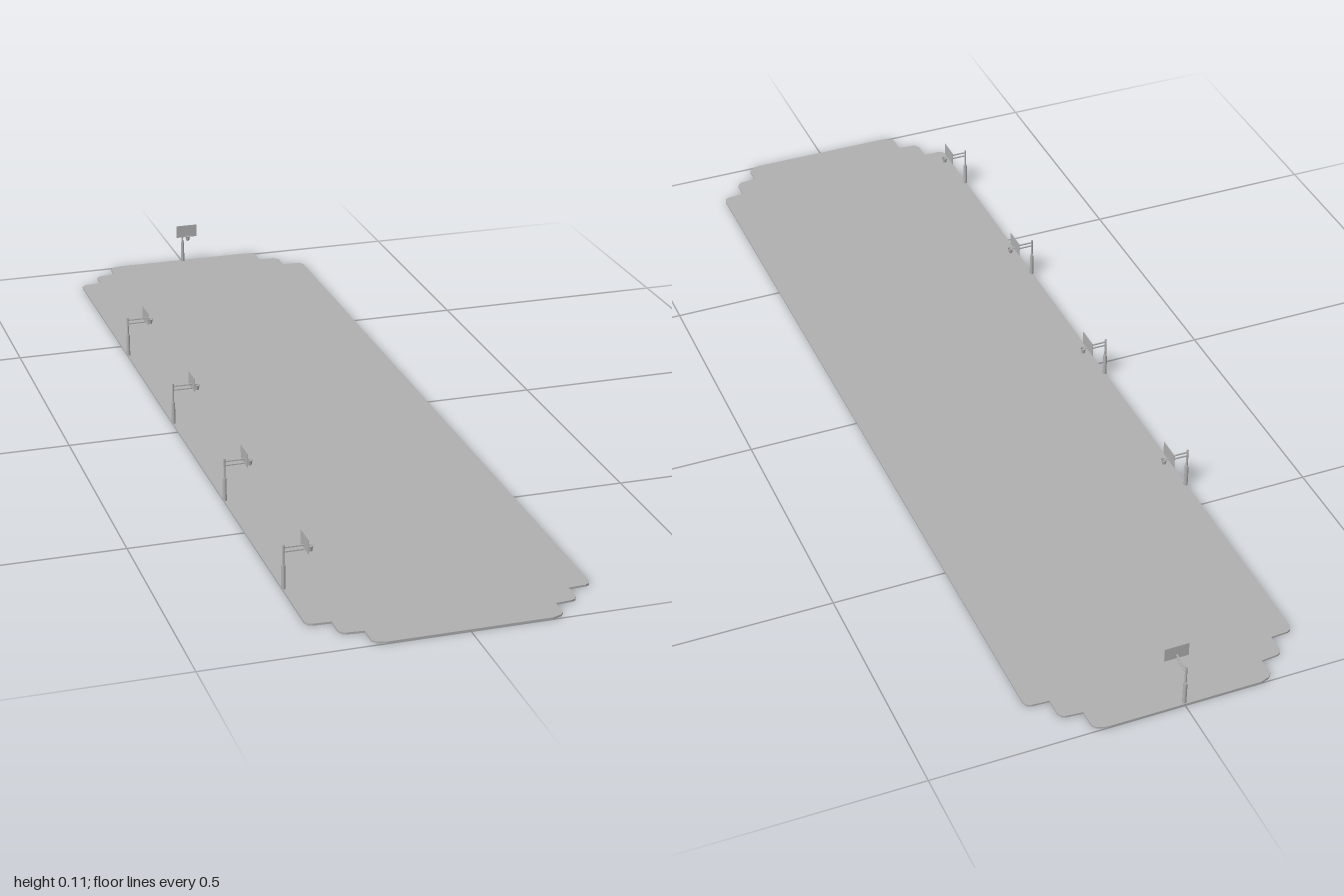
import * as THREE from 'three';

const grey = new THREE.MeshStandardMaterial({ color: 0xb0b0b0 });
grey.name = 'concrete grey';
const thinGrey = new THREE.MeshStandardMaterial({ color: 0xb0b0b0, side: THREE.DoubleSide });
thinGrey.name = 'thin sheet grey';

function add(parent, name, geometry, x, y, z, material = grey) {
  const mesh = new THREE.Mesh(geometry, material);
  mesh.name = name;
  mesh.position.set(x, y, z);
  parent.add(mesh);
  return mesh;
}

// Court slab with stepped, slightly softened corners
function courtSlab() {
  const corner = [
    [0.272, 0.885], [0.268, 0.894], [0.26, 0.898], [0.225, 0.9],
    [0.225, 0.935], [0.221, 0.943], [0.214, 0.947], [0.18, 0.95],
    [0.18, 0.985], [0.173, 0.994], [0.155, 1],
  ];
  const back = [...corner].reverse();
  const outline = [
    ...corner,
    ...back.map(([x, z]) => [-x, z]),
    ...corner.map(([x, z]) => [-x, -z]),
    ...back.map(([x, z]) => [x, -z]),
  ];
  const shape = new THREE.Shape(outline.map(([x, z]) => new THREE.Vector2(x, z)));
  const geometry = new THREE.ExtrudeGeometry(shape, { depth: 0.004, bevelEnabled: false });
  return geometry.rotateX(-Math.PI / 2);
}

// Basketball stand facing +z, with its post at the origin
function basketballStand() {
  const stand = new THREE.Group();
  stand.name = 'basketballStand';
  add(stand, 'postSleeve', new THREE.CylinderGeometry(0.004, 0.004, 0.049, 16), 0, 0.0275, 0);
  add(stand, 'post', new THREE.CylinderGeometry(0.0022, 0.0022, 0.041, 12), 0, 0.0715, 0);
  for (const y of [0.0778, 0.0862]) {
    add(stand, 'arm', new THREE.BoxGeometry(0.0025, 0.0025, 0.04), 0, y, 0.02);
  }
  add(stand, 'backboard', new THREE.BoxGeometry(0.049, 0.029, 0.001), 0, 0.0925, 0.0405);
  add(stand, 'rimBracket', new THREE.BoxGeometry(0.003, 0.0012, 0.005), 0, 0.083, 0.0435);
  const rim = add(stand, 'rim', new THREE.TorusGeometry(0.0058, 0.0006, 6, 20), 0, 0.083, 0.051);
  rim.rotation.x = Math.PI / 2;
  add(stand, 'net', new THREE.CylinderGeometry(0.0056, 0.0036, 0.01, 16, 1, true), 0, 0.078, 0.051, thinGrey);
  return stand;
}

export function createModel() {
  const model = new THREE.Group();
  model.name = 'basketballCourt';
  add(model, 'courtSlab', courtSlab(), 0, 0, 0);

  // Four stands along the right side, one at the back end
  for (let i = 0; i < 4; i++) {
    const stand = basketballStand();
    stand.position.set(-0.27, 0, 0.752 - i * 0.396);
    stand.rotation.y = Math.PI / 2;
    model.add(stand);
  }
  const endStand = basketballStand();
  endStand.position.set(0, 0, -0.995);
  model.add(endStand);
  return model;
}
